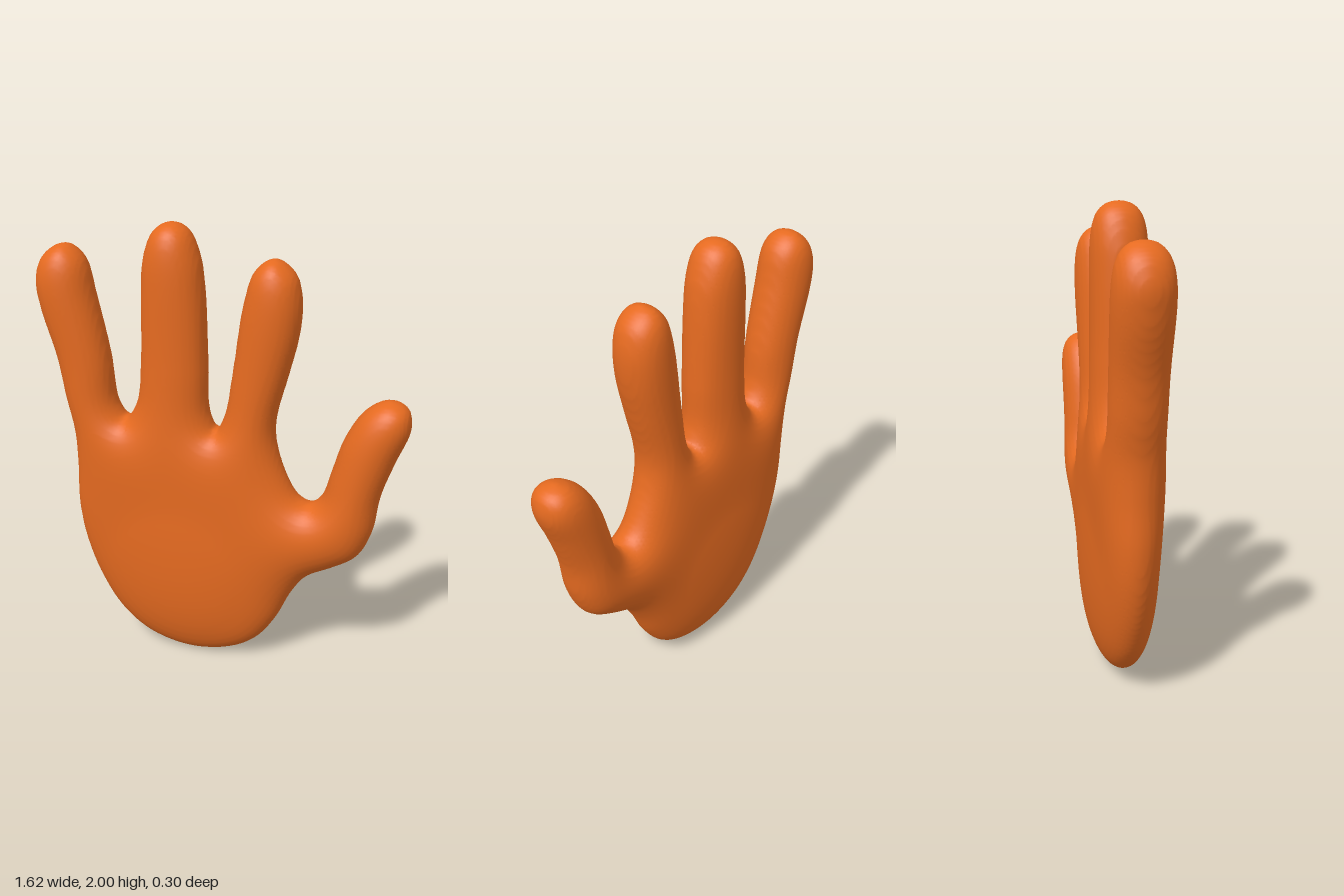
import * as THREE from 'three';

// Outline of the hand, counter-clockwise from the heel of the palm
const outline = [
  // heel and thumb
  [-0.14, 0], [0.05, 0.03], [0.17, 0.1], [0.26, 0.22], [0.33, 0.37], [0.4, 0.47],
  [0.52, 0.54], [0.62, 0.61], [0.675, 0.73], [0.7, 0.9], [0.75, 1.06], [0.805, 1.22],
  [0.785, 1.3], [0.71, 1.33], [0.62, 1.285], [0.54, 1.16], [0.49, 1.0], [0.45, 0.87],
  // first finger
  [0.4, 0.825], [0.345, 0.85], [0.275, 0.98], [0.24, 1.12], [0.245, 1.22], [0.29, 1.4],
  [0.33, 1.58], [0.335, 1.72], [0.305, 1.82], [0.22, 1.877], [0.145, 1.83], [0.1, 1.7],
  [0.055, 1.4], [0.02, 1.2], [-0.02, 1.125],
  // middle finger
  [-0.055, 1.2], [-0.06, 1.4], [-0.07, 1.7], [-0.09, 1.86], [-0.14, 1.97], [-0.21, 2],
  [-0.28, 1.965], [-0.325, 1.86], [-0.34, 1.7], [-0.35, 1.4], [-0.375, 1.22], [-0.43, 1.14],
  // little finger
  [-0.475, 1.2], [-0.5, 1.4], [-0.555, 1.66], [-0.6, 1.83], [-0.68, 1.887], [-0.77, 1.84],
  [-0.81, 1.74], [-0.795, 1.61], [-0.735, 1.4], [-0.705, 1.22],
];
// outer edge of the palm
const palmEdge = [
  [-0.675, 1.07], [-0.67, 0.9], [-0.675, 0.7], [-0.65, 0.52], [-0.58, 0.32],
  [-0.48, 0.16], [-0.34, 0.05],
];

const curve = new THREE.CatmullRomCurve3(
  [...outline, ...palmEdge].map(([x, y]) => new THREE.Vector3(x, y, 0)), true);
const edge = curve.getPoints(300);

// Squared half-thickness at (x, y): a smooth distance to the outline that gives
// round sections in the fingers and a flatter ellipsoid in the palm.
function thickness(x, y) {
  let sum = 0, winding = 0;
  for (let i = 0; i < edge.length - 1; i++) {
    const ax = edge[i].x - x, ay = edge[i].y - y;
    const bx = edge[i + 1].x - x, by = edge[i + 1].y - y;
    const cross = ax * by - ay * bx, dot = ax * bx + ay * by;
    const angle = Math.atan2(cross, dot);
    const length = Math.hypot(bx - ax, by - ay);
    winding += angle;
    sum += Math.abs(cross) > 1e-10
      ? length * angle / cross
      : length / Math.max(Math.abs(dot), 1e-8);
  }
  const distance = Math.PI / sum * (Math.abs(winding) > Math.PI ? 1 : -1);
  const away = THREE.MathUtils.smoothstep(Math.hypot(x + 0.2, y - 0.4), 0.3, 1.0);
  return distance * THREE.MathUtils.lerp(0.114, 0.255, away);
}

// Smooth skin where field(x, y, z) = 0, one vertex per crossed grid cell
function createSkin() {
  const step = 0.014;
  const size = [124, 152, 28];
  const start = [-0.861, -0.057, -13.5 * step];
  const stride = [1, size[0], size[0] * size[1]];
  const field = new Float32Array(size[0] * size[1] * size[2]);

  for (let j = 0; j < size[1]; j++) {
    for (let i = 0; i < size[0]; i++) {
      const u = thickness(start[0] + i * step, start[1] + j * step);
      for (let k = 0; k < size[2]; k++) {
        const z = start[2] + k * step;
        field[i + j * stride[1] + k * stride[2]] =
          (u - z * z) / Math.sqrt(Math.abs(u) + z * z + 0.006);
      }
    }
  }

  const positions = [], indices = [];
  const cellVertex = new Int32Array(field.length).fill(-1);
  const eachCell = (first, visit) => {
    for (let k = first; k < size[2] - 1; k++)
      for (let j = first; j < size[1] - 1; j++)
        for (let i = first; i < size[0] - 1; i++)
          visit([i, j, k], i + j * stride[1] + k * stride[2]);
  };

  // vertices: average of the crossings on the cell's twelve edges
  eachCell(0, (cell, n) => {
    const total = [0, 0, 0];
    let count = 0;
    for (let corner = 0; corner < 8; corner++) {
      const bits = [corner & 1, (corner >> 1) & 1, corner >> 2];
      const a = n + bits[0] + bits[1] * stride[1] + bits[2] * stride[2];
      for (let axis = 0; axis < 3; axis++) {
        if (bits[axis]) continue;
        const fa = field[a], fb = field[a + stride[axis]];
        if ((fa > 0) === (fb > 0)) continue;
        for (let c = 0; c < 3; c++) total[c] += bits[c];
        total[axis] += fa / (fa - fb);
        count++;
      }
    }
    if (!count) return;
    cellVertex[n] = positions.length / 3;
    for (let c = 0; c < 3; c++) positions.push(start[c] + (cell[c] + total[c] / count) * step);
  });

  // faces: one quad around every crossed grid edge
  eachCell(1, (cell, n) => {
    for (let axis = 0; axis < 3; axis++) {
      const inside = field[n] > 0;
      if (inside === (field[n + stride[axis]] > 0)) continue;
      const b = stride[(axis + 1) % 3], c = stride[(axis + 2) % 3];
      const quad = [n, n - b, n - b - c, n - c].map((q) => cellVertex[q]);
      if (!inside) quad.reverse();
      indices.push(quad[0], quad[1], quad[2], quad[0], quad[2], quad[3]);
    }
  });

  const geometry = new THREE.BufferGeometry();
  geometry.setAttribute('position', new THREE.Float32BufferAttribute(positions, 3));
  geometry.setIndex(indices);
  geometry.computeVertexNormals();
  return geometry;
}

export function createModel() {
  const group = new THREE.Group();
  group.name = 'openHand';
  const orange = new THREE.MeshStandardMaterial({ color: 0xe56a20 });
  orange.name = 'orange';
  const hand = new THREE.Mesh(createSkin(), orange);
  hand.name = 'palmAndFingers';
  group.add(hand);
  return group;
}
